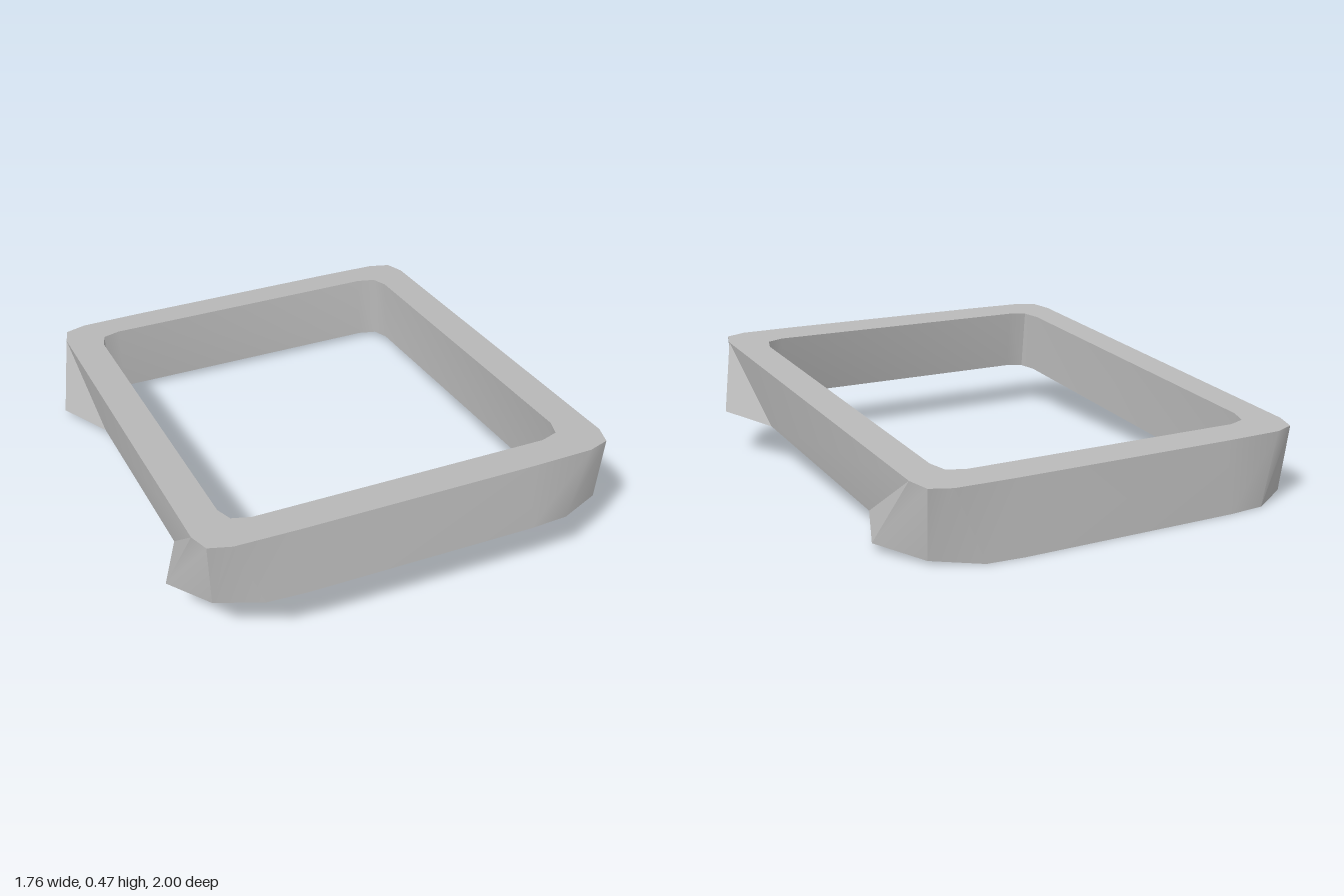
import * as THREE from 'three';
import { toCreasedNormals } from 'three/addons/utils/BufferGeometryUtils.js';

// heights of the two sloping planes that bound the frame
const topY = (z) => 0.3745 + 0.0995 * z;
const bottomY = (z) => 0.11 + 0.105 * z;

// mirrors a right-hand run of [x, z] points into a closed ring
const mirrorRing = (half) => [...half, ...half.slice().reverse().map(([x, z]) => [-x, z])];

// outer outline, listed front to back; the lower one flares into corner feet
const outerTop = mirrorRing([
  [0.45, 0.96], [0.7, 0.955], [0.785, 0.925], [0.81, 0.84], [0.81, 0.84],
  [0.81, -0.84], [0.81, -0.84], [0.785, -0.925], [0.7, -0.955], [0.45, -0.96],
]);
const outerBottom = mirrorRing([
  [0.45, 1.0], [0.6, 0.99], [0.77, 0.91], [0.88, 0.73], [0.77, 0.49],
  [0.77, -0.44], [0.88, -0.69], [0.77, -0.89], [0.6, -0.99], [0.45, -1.0],
]);

// opening, cut square to the sloping top
const innerTop = mirrorRing([
  [0.58, 0.815], [0.65, 0.79], [0.673, 0.72], [0.673, -0.73], [0.65, -0.8], [0.58, -0.823],
]);
const innerBottom = innerTop.map(([x, z]) => [x, z + 0.03]);

// wall between an upper and a lower ring
function wall(top, bottom, inward) {
  const pos = [];
  const up = top.map(([x, z]) => new THREE.Vector3(x, topY(z), z));
  const low = bottom.map(([x, z]) => new THREE.Vector3(x, bottomY(z), z));
  const tri = (a, b, c) => {
    if (new THREE.Triangle(a, b, c).getArea() < 1e-7) return;
    for (const p of inward ? [a, c, b] : [a, b, c]) pos.push(p.x, p.y, p.z);
  };
  up.forEach((_, i) => {
    const j = (i + 1) % up.length;
    tri(low[i], low[j], up[j]);
    tri(low[i], up[j], up[i]);
  });
  const geo = new THREE.BufferGeometry();
  geo.setAttribute('position', new THREE.Float32BufferAttribute(pos, 3));
  return toCreasedNormals(geo, 0.45);
}

// flat ring face lying on a sloping plane
function face(outer, inner, height, down) {
  const points = (ring) => ring
    .filter(([x, z], i) => i === 0 || x !== ring[i - 1][0] || z !== ring[i - 1][1])
    .map(([x, z]) => new THREE.Vector2(x, -z));
  const shape = new THREE.Shape(points(outer));
  shape.holes.push(new THREE.Path(points(inner)));
  const geo = new THREE.ShapeGeometry(shape);
  const p = geo.attributes.position;
  for (let i = 0; i < p.count; i++) {
    const z = -p.getY(i);
    p.setXYZ(i, p.getX(i), height(z), z);
  }
  if (down) geo.index.array.reverse();
  geo.computeVertexNormals();
  return geo;
}

export function createModel() {
  const group = new THREE.Group();
  group.name = 'slopingFrame';
  const grey = new THREE.MeshStandardMaterial({ color: 0xb8b8b8 });
  grey.name = 'grey';

  const add = (name, geometry) => {
    const mesh = new THREE.Mesh(geometry, grey);
    mesh.name = name;
    group.add(mesh);
  };
  add('outerWall', wall(outerTop, outerBottom, false));
  add('innerWall', wall(innerTop, innerBottom, true));
  add('topFace', face(outerTop, innerTop, topY, false));
  add('underside', face(outerBottom, innerBottom, bottomY, true));
  return group;
}
